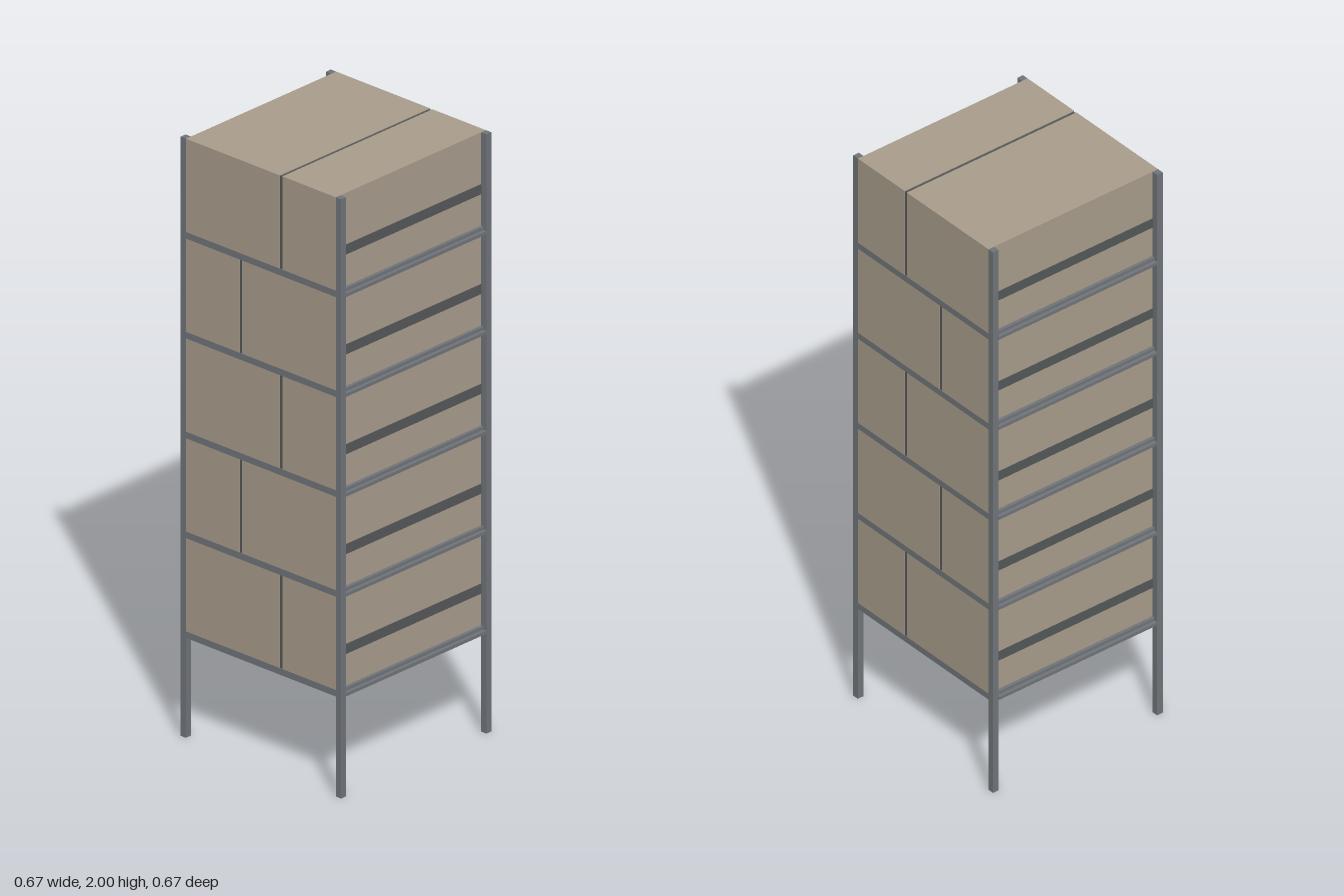
import * as THREE from 'three';

export function createModel() {
  const model = new THREE.Group();
  const panel = new THREE.MeshStandardMaterial({ color: 0xa99d8c });
  const frame = new THREE.MeshStandardMaterial({ color: 0x70757a });
  const dark = new THREE.MeshStandardMaterial({ color: 0x55585a });

  // Box given by its min and max corners
  function box(parent, name, material, [x0, y0, z0], [x1, y1, z1]) {
    const mesh = new THREE.Mesh(new THREE.BoxGeometry(x1 - x0, y1 - y0, z1 - z0), material);
    mesh.position.set((x0 + x1) / 2, (y0 + y1) / 2, (z0 + z1) / 2);
    mesh.name = name;
    parent.add(mesh);
  }

  const H = 1 / 3;    // half width, also tier pitch
  const I = 0.311;    // inner face of the legs
  const T = 0.022;    // leg and shelf thickness
  const mid = 0.322;  // step of the stepped rail

  // Four corner posts
  for (const x of [-1, 1]) {
    for (const z of [-1, 1]) {
      const cx = x * (H - T / 2), cz = z * (H - T / 2);
      box(model, 'leg', frame, [cx - T / 2, 0, cz - T / 2], [cx + T / 2, 2, cz + T / 2]);
    }
  }

  for (let i = 0; i < 5; i++) {
    const tier = new THREE.Group();
    tier.name = 'tier' + (i + 1);
    model.add(tier);
    const y = H * (i + 1), top = y + H, floor = y + T;

    box(tier, 'shelf', frame, [-H, y, -I], [H, floor, I]);

    // Two drawer bodies with a seam that alternates front and back
    const seam = i % 2 ? -0.0833 : 0.0833, g = 0.0055;
    box(tier, 'frontDrawer', panel, [-H, floor, seam + g], [H, top, I]);
    box(tier, 'backDrawer', panel, [-H, floor, -I], [H, top, seam - g]);
    box(tier, 'seam', dark, [-H + 0.002, floor, seam - g], [H - 0.002, top - 0.002, seam + g]);

    // Stepped rails and grip strips on the front and the back
    for (const s of [-1, 1]) {
      const span = (a, b) => (s > 0 ? [a, b] : [-b, -a]);
      const [a0, a1] = span(I, mid);
      box(tier, 'railUpright', frame, [-I, y, a0], [I, floor, a1]);
      const [b0, b1] = span(mid, H);
      box(tier, 'railLip', frame, [-I, y, b0], [I, y + T / 2, b1]);
      const [c0, c1] = span(I - 0.005, I + 0.002);
      box(tier, 'gripStrip', dark, [-I, y + 0.128, c0], [I, y + 0.161, c1]);
    }
  }
  return model;
}
